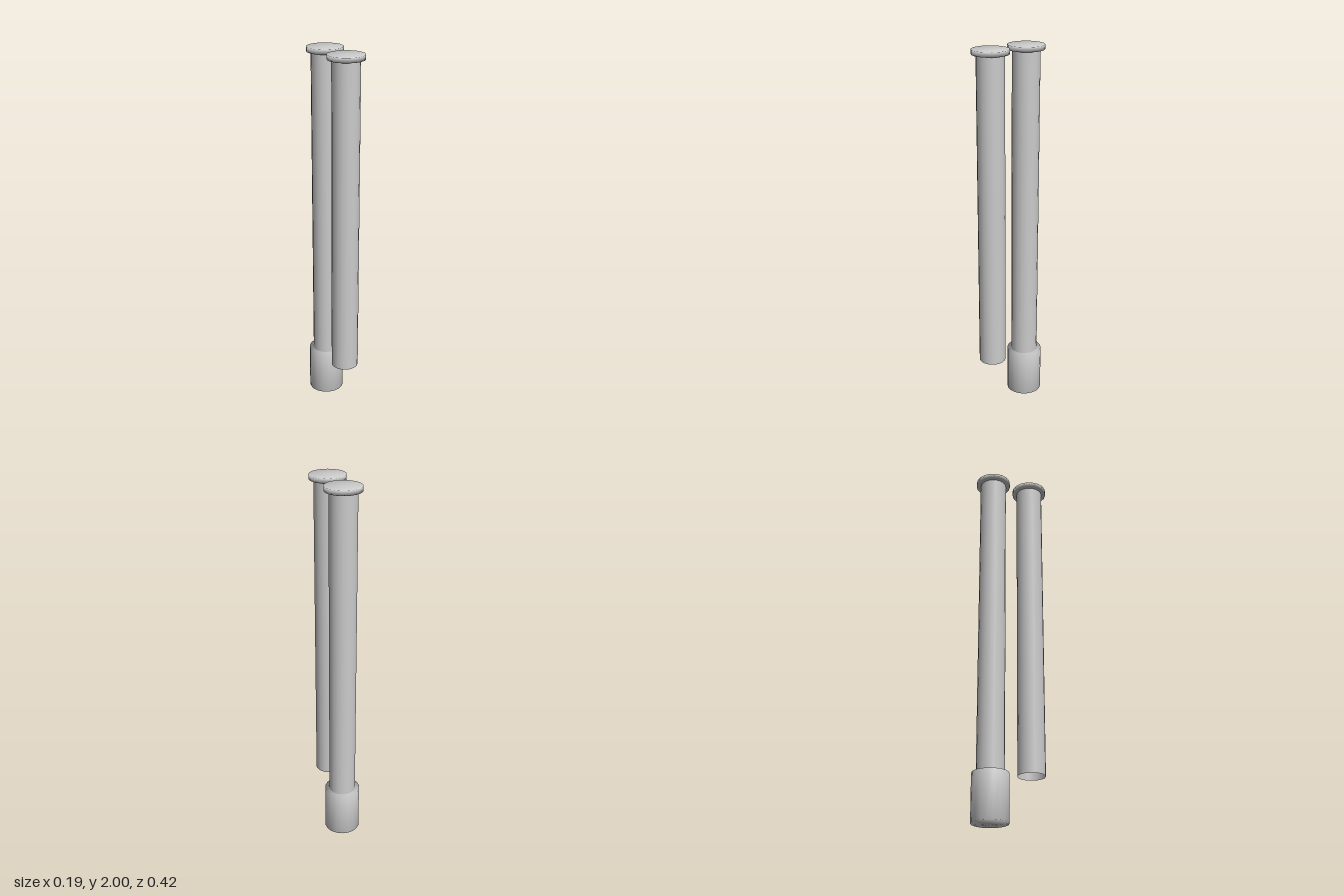
import * as THREE from 'three';
import { mergeVertices } from 'three/addons/utils/BufferGeometryUtils.js';

const SIDES = 18;
const TUBE_R = 0.073, RIM_R = 0.0965;
const CAP_H = 0.025, BASE_H = 0.255, TUBE_BOTTOM = 0.26, TOP = 2;

const grey = new THREE.MeshStandardMaterial({ color: 0xcccccc });
const greyOpen = new THREE.MeshStandardMaterial({ color: 0xcccccc, side: THREE.DoubleSide });

// Closed disc whose normals are shared across the rim, for a soft pillowed look
function softCylinder(radius, height) {
  const g = new THREE.CylinderGeometry(radius, radius, height, SIDES);
  g.deleteAttribute('normal');
  g.deleteAttribute('uv');
  const merged = mergeVertices(g);
  merged.computeVertexNormals();
  return merged;
}

function addPart(group, name, geometry, bottom, height, material = grey) {
  const mesh = new THREE.Mesh(geometry, material);
  mesh.name = name;
  mesh.position.y = bottom + height / 2;
  group.add(mesh);
}

// One upright: an open tube with a flanged cap, optionally standing in a base
function makePost(name, z, hasBase) {
  const post = new THREE.Group();
  post.name = name;
  post.position.z = z;
  const bottom = hasBase ? BASE_H : TUBE_BOTTOM;
  const length = TOP - CAP_H - bottom;
  addPart(post, 'tube',
    new THREE.CylinderGeometry(TUBE_R, TUBE_R, length, SIDES, 1, true),
    bottom, length, greyOpen);
  addPart(post, 'cap', softCylinder(RIM_R, CAP_H), TOP - CAP_H, CAP_H);
  if (hasBase) addPart(post, 'base', softCylinder(RIM_R, BASE_H), 0, BASE_H);
  return post;
}

export function createModel() {
  const model = new THREE.Group();
  model.name = 'twinPosts';
  model.add(makePost('frontPost', 0.1125, false));
  model.add(makePost('backPost', -0.1125, true));
  return model;
}
